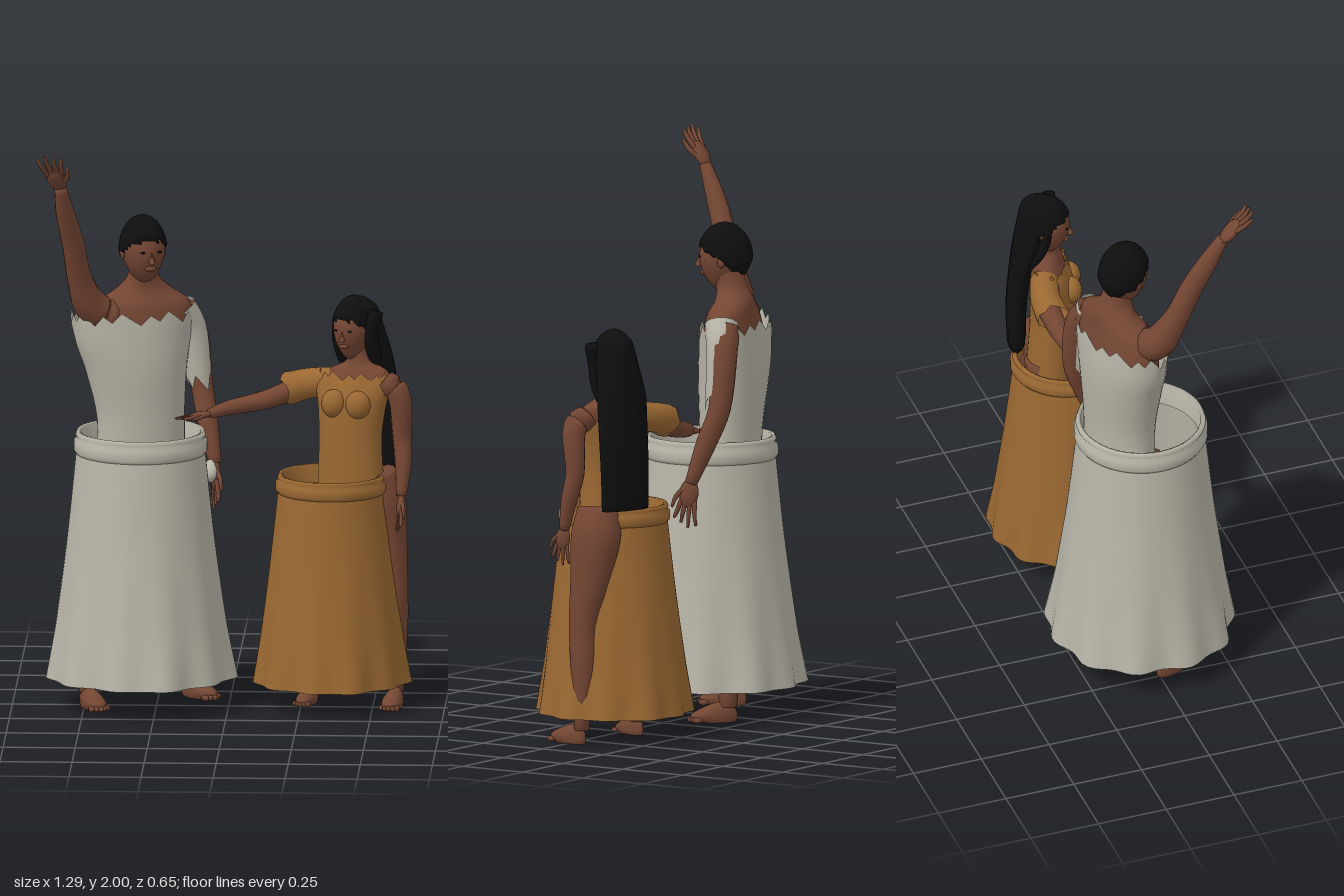
import * as THREE from 'three';

const V = (a) => new THREE.Vector3(a[0], a[1], a[2]);

export function createModel() {
  const mat = (name, color, side = THREE.FrontSide) => {
    const m = new THREE.MeshStandardMaterial({ color, side });
    m.name = name;
    return m;
  };
  const skin = mat('brown skin', 0x744633);
  const white = mat('off-white cloth', 0xb8b4a7, THREE.DoubleSide);
  const ochre = mat('ochre cloth', 0x9a6832, THREE.DoubleSide);
  const black = mat('black hair', 0x0e0e0e);

  const add = (parent, name, geo, material) => {
    const m = new THREE.Mesh(geo, material);
    m.name = name;
    parent.add(m);
    return m;
  };

  // Smooth skin over rows of [x, y, z, rx, rz]; rings lie flat, or across the path when across is set
  function loft(rows, { yaw = 0, open = false, across = false, seg = 20, sub = 5, jag, ripple } = {}) {
    const path = new THREE.CatmullRomCurve3(rows.map(V));
    const size = new THREE.CatmullRomCurve3(rows.map((r, i) => new THREE.Vector3(r[3], r[4] ?? r[3], i * 0.1)));
    const n = (rows.length - 1) * sub, pos = [], idx = [];
    const ring = (t, k) => {
      const c = path.getPoint(t), s = size.getPoint(t);
      const up = across ? path.getTangent(t) : new THREE.Vector3(0, 1, 0);
      const e1 = new THREE.Vector3(Math.cos(yaw), 0, -Math.sin(yaw));
      if (across) {
        if (Math.abs(up.x) > 0.8) e1.set(0, 0, 1);
        e1.addScaledVector(up, -e1.dot(up)).normalize();
      }
      const e2 = e1.clone().cross(up);
      for (let j = 0; j < seg; j++) {
        const a = j / seg * Math.PI * 2, f = k * (1 + (ripple ? ripple(a, t) : 0));
        const p = c.clone().addScaledVector(e1, Math.cos(a) * s.x * f).addScaledVector(e2, Math.sin(a) * s.y * f);
        if (jag) p.addScaledVector(up, jag(j, a) * Math.max(0, (t - 0.8) / 0.2));
        pos.push(p.x, p.y, p.z);
      }
    };
    if (!open) ring(0, 0.001);
    for (let i = 0; i <= n; i++) ring(i / n, 1);
    if (!open) ring(1, 0.001);
    for (let i = 0; i < pos.length / 3 / seg - 1; i++) for (let j = 0; j < seg; j++) {
      const a = i * seg + j, b = i * seg + (j + 1) % seg;
      idx.push(a, a + seg, b, b, a + seg, b + seg);
    }
    const g = new THREE.BufferGeometry();
    g.setAttribute('position', new THREE.Float32BufferAttribute(pos, 3));
    g.setIndex(idx);
    g.computeVertexNormals();
    return g;
  }
  const limb = (rows, o = {}) => loft(rows, { across: true, seg: 14, ...o });

  // Hand built along +y: palm, four fingers and a thumb
  function hand(parent, name, at, dir, side, L, thumb) {
    const h = new THREE.Group();
    h.name = name;
    const y = V(dir).normalize(), x = V(side);
    x.addScaledVector(y, -x.dot(y)).normalize();
    h.quaternion.setFromRotationMatrix(new THREE.Matrix4().makeBasis(x, y, x.clone().cross(y)));
    h.position.copy(V(at));
    add(h, 'palm', new THREE.SphereGeometry(1, 14, 10).scale(0.2 * L, 0.31 * L, 0.1 * L).translate(0, 0.28 * L, 0), skin);
    for (let i = -1.5; i < 2; i++) {
      const end = 0.98 - Math.abs(i + 0.5 * thumb) * 0.07;
      add(h, 'finger', limb([[i * 0.09 * L, 0.4 * L, 0, 0.052 * L], [i * 0.13 * L, 0.72 * L, 0.02 * L, 0.046 * L],
        [i * 0.16 * L, end * L, -0.01 * L, 0.028 * L]], { seg: 8, sub: 3 }), skin);
    }
    add(h, 'thumb', limb([[thumb * 0.08 * L, 0.15 * L, 0, 0.06 * L], [thumb * 0.25 * L, 0.38 * L, 0.04 * L, 0.05 * L],
      [thumb * 0.3 * L, 0.62 * L, 0.06 * L, 0.03 * L]], { seg: 8, sub: 3 }), skin);
    parent.add(h);
  }

  // Foot: a flattened wedge with toes, heel under the ankle
  function foot(parent, name, x, z, yaw, s) {
    const f = new THREE.Group();
    f.name = name;
    const g = new THREE.SphereGeometry(1, 18, 14), p = g.attributes.position;
    for (let i = 0; i < p.count; i++) {
      const k = p.getZ(i);
      p.setXYZ(i, p.getX(i) * (0.035 + 0.008 * k), Math.max(0, 0.022 + p.getY(i) * (0.042 - 0.022 * k)), 0.04 + k * 0.08);
    }
    g.computeVertexNormals();
    add(f, 'sole and instep', g, skin);
    for (let i = -2; i <= 2; i++) {
      add(f, 'toe', new THREE.SphereGeometry(0.011, 8, 6).scale(0.8, 0.9, 1.6)
        .translate(i * 0.014, 0.011, 0.113 - Math.abs(i) * 0.006), skin);
    }
    f.position.set(x, 0, z);
    f.rotation.y = yaw;
    f.scale.setScalar(s);
    parent.add(f);
  }

  // Head with tapered jaw, features and a hair cap that dives under the skin below the hairline
  function head(parent, at, yaw, [rx, ry, rz]) {
    const h = new THREE.Group();
    h.name = 'head';
    const shape = (k) => {
      const g = new THREE.SphereGeometry(1, 36, 28), p = g.attributes.position;
      for (let i = 0; i < p.count; i++) {
        const x = p.getX(i), y = p.getY(i), z = p.getZ(i);
        const jaw = y < 0 ? 1 + 0.22 * y : 1, f = k(x, y, z);
        p.setXYZ(i, x * rx * jaw * f, y * ry * f, (z * jaw + (y < 0 ? -0.12 * y : 0)) * rz * f);
      }
      g.computeVertexNormals();
      return g;
    };
    add(h, 'face', shape(() => 1), skin);
    add(h, 'hair', shape((x, y, z) => y > -0.1 + 0.52 * z + 0.06 * Math.sin(x * 14) ? 1.09 : 0.88), black);
    const nose = new THREE.ConeGeometry(0.17 * rx, 0.34 * ry, 8).scale(1, 1, 1.3);
    add(h, 'nose', nose.translate(0, -0.12 * ry, rz * 1.01), skin);
    add(h, 'lips', new THREE.SphereGeometry(0.25 * rx, 10, 8).scale(1.2, 0.5, 0.5).translate(0, -0.48 * ry, rz * 0.86), skin);
    for (const s of [-1, 1]) {
      add(h, 'eye', new THREE.SphereGeometry(0.13 * rx, 8, 6).scale(1.2, 0.4, 0.4).translate(s * 0.38 * rx, 0.04 * ry, rz * 0.92), black);
      add(h, 'ear', new THREE.SphereGeometry(0.2 * rx, 8, 8).scale(0.5, 1.3, 0.9).translate(s * rx, -0.08 * ry, 0), skin);
    }
    h.position.copy(V(at));
    h.rotation.y = yaw;
    parent.add(h);
  }

  // Flared skirt with folds deepening to the hem, and a rolled waistband
  function skirt(parent, x, z, profile, R, y, h, material) {
    add(parent, 'skirt', loft(profile.map(([py, r]) => [x, py, z, r, r]), {
      open: true, seg: 88, sub: 6,
      ripple: (a, t) => (1 - t) ** 2 * (0.035 * Math.sin(11 * a + 0.6) + 0.02 * Math.sin(5 * a + 1)),
    }), material);
    const pts = [[-0.03, 0], [-0.008, -0.01], [0, 0.15], [0, 0.55], [-0.012, 0.68], [-0.006, 0.82], [-0.012, 1], [-0.024, 0.95], [-0.03, 0]];
    const band = new THREE.LatheGeometry(pts.map(([r, k]) => new THREE.Vector2(R + r, y + h * k)), 56);
    add(parent, 'waistband', band.translate(x, 0, z), material);
  }
  const torn = (d) => (j) => d * (((j * 7) % 5) / 2 - 1);

  // ---- Man ----
  const man = new THREE.Group();
  man.name = 'man';
  add(man, 'torso', loft([[-0.31, 0.8, -0.08, 0.14, 0.09], [-0.31, 1, -0.08, 0.14, 0.09], [-0.325, 1.2, -0.08, 0.165, 0.1],
    [-0.315, 1.33, -0.085, 0.19, 0.095], [-0.305, 1.41, -0.09, 0.17, 0.08], [-0.3, 1.455, -0.1, 0.1, 0.065],
    [-0.3, 1.5, -0.09, 0.056, 0.056], [-0.295, 1.57, -0.07, 0.05, 0.054]], { yaw: 0.3, seg: 28 }), skin);
  add(man, 'dressTop', loft([[-0.31, 0.78, -0.08, 0.16, 0.1], [-0.308, 1, -0.08, 0.155, 0.105], [-0.325, 1.18, -0.08, 0.18, 0.118],
    [-0.335, 1.28, -0.08, 0.205, 0.118], [-0.335, 1.37, -0.08, 0.222, 0.112]], { yaw: 0.3, seg: 40, open: true, jag: torn(0.022) }), white);
  add(man, 'raisedArm', limb([[-0.4, 1.36, -0.04, 0.06], [-0.475, 1.41, 0, 0.06], [-0.515, 1.52, 0.05, 0.044],
    [-0.535, 1.65, 0.1, 0.039], [-0.56, 1.77, 0.155, 0.033], [-0.575, 1.87, 0.205, 0.021]]), skin);
  hand(man, 'raisedHand', [-0.575, 1.865, 0.2], [-0.035, 0.12, 0.09], [1, 0.1, 0.1], 0.175, 1);
  const armRows = [[-0.17, 1.37, -0.14, 0.055], [-0.132, 1.3, -0.165, 0.05], [-0.1, 1.1, -0.17, 0.039],
    [-0.078, 0.98, -0.13, 0.036], [-0.05, 0.84, -0.085, 0.022]];
  add(man, 'loweredArm', limb(armRows), skin);
  add(man, 'tornSleeve', limb(armRows.slice(0, 3).map(([x, y, z, r]) => [x - 0.006, y + 0.015, z + 0.012, r + 0.003]),
    { open: true, jag: torn(0.03) }), white);
  add(man, 'tornCuff', limb([[-0.066, 0.85, -0.08, 0.014], [-0.062, 0.81, -0.055, 0.022], [-0.064, 0.78, -0.06, 0.008]]), white);
  hand(man, 'loweredHand', [-0.05, 0.85, -0.086], [0, -0.16, 0.03], [0.3, 0, 1], 0.17, 1);
  head(man, [-0.3, 1.6, -0.06], 0.4, [0.076, 0.113, 0.09]);
  add(man, 'leftLeg', limb([[-0.24, 0.85, -0.1, 0.1], [-0.22, 0.48, -0.1, 0.06], [-0.18, 0.3, -0.15, 0.055], [-0.14, 0.05, -0.18, 0.03]]), skin);
  add(man, 'rightLeg', limb([[-0.39, 0.85, -0.05, 0.1], [-0.43, 0.48, 0.02, 0.06], [-0.47, 0.3, 0.02, 0.055], [-0.49, 0.05, 0.02, 0.03]]), skin);
  foot(man, 'leftFoot', -0.14, -0.17, 0.8, 1.05);
  foot(man, 'rightFoot', -0.49, 0.025, 0.45, 1.05);
  skirt(man, -0.305, 0, [[0.11, 0.322], [0.3, 0.293], [0.6, 0.255], [0.92, 0.222]], 0.232, 0.895, 0.08, white);

  // ---- Woman ----
  const woman = new THREE.Group();
  woman.name = 'woman';
  add(woman, 'torso', loft([[0.44, 0.7, -0.07, 0.11, 0.08], [0.42, 0.92, -0.06, 0.1, 0.07], [0.43, 1.05, -0.06, 0.11, 0.07],
    [0.445, 1.14, -0.07, 0.13, 0.058], [0.45, 1.18, -0.08, 0.1, 0.05], [0.45, 1.21, -0.085, 0.046, 0.042],
    [0.44, 1.29, -0.09, 0.038, 0.04]], { yaw: -0.33, seg: 28 }), skin);
  add(woman, 'dressTop', loft([[0.425, 0.68, -0.065, 0.125, 0.09], [0.42, 0.93, -0.06, 0.113, 0.08], [0.425, 1.05, -0.06, 0.122, 0.08],
    [0.43, 1.12, -0.067, 0.136, 0.07], [0.435, 1.165, -0.075, 0.125, 0.062]], { yaw: -0.33, seg: 36, open: true, jag: torn(0.016) }), ochre);
  for (const [x, z] of [[0.365, -0.015], [0.45, 0.01]]) {
    add(woman, 'bust', new THREE.SphereGeometry(1, 16, 12).scale(0.045, 0.05, 0.04).translate(x, 1.07, z), ochre);
  }
  add(woman, 'sleeve', limb([[0.37, 1.13, -0.11, 0.05], [0.27, 1.115, -0.14, 0.053], [0.195, 1.095, -0.14, 0.058]],
    { open: true, jag: torn(0.01) }), ochre);
  add(woman, 'reachingArm', limb([[0.35, 1.13, -0.12, 0.045], [0.25, 1.105, -0.14, 0.041], [0.13, 1.06, -0.13, 0.033],
    [0, 1.035, -0.1, 0.026], [-0.07, 1.02, -0.065, 0.017]]), skin);
  hand(woman, 'reachingHand', [-0.065, 1.02, -0.068], [-0.12, -0.012, 0.04], [0.3, 0.1, 1], 0.13, 1);
  add(woman, 'hangingArm', limb([[0.54, 1.14, -0.04, 0.045], [0.585, 1.11, -0.025, 0.042], [0.6, 0.95, -0.035, 0.033],
    [0.605, 0.86, -0.015, 0.029], [0.6, 0.75, 0.01, 0.018]]), skin);
  hand(woman, 'hangingHand', [0.6, 0.755, 0.01], [-0.01, -0.13, 0.025], [0.2, 0, 1], 0.135, 1);
  head(woman, [0.43, 1.322, -0.085], -0.45, [0.066, 0.108, 0.085]);
  add(woman, 'longHair', loft([[0.49, 0.82, -0.17, 0.095, 0.032], [0.492, 0.95, -0.17, 0.098, 0.036], [0.485, 1.1, -0.158, 0.1, 0.04],
    [0.47, 1.22, -0.14, 0.098, 0.05], [0.458, 1.32, -0.115, 0.08, 0.062], [0.45, 1.4, -0.1, 0.06, 0.062], [0.445, 1.43, -0.095, 0.025, 0.03]],
    { yaw: -0.33, seg: 40, ripple: (a, t) => 0.04 * (1 - t) * Math.sin(13 * a) }), black);
  // Locks framing the face
  for (const [x, z, w] of [[0.372, -0.1, 0.018], [0.492, -0.045, 0.024]]) {
    add(woman, 'sideLock', limb([[x + 0.03, 1.16, z - 0.07, 0.012], [x + 0.008, 1.24, z - 0.02, w], [x, 1.32, z, w], [x + 0.02, 1.39, z, w]]), black);
  }
  add(woman, 'leftLeg', limb([[0.505, 0.82, -0.07, 0.07, 0.075], [0.528, 0.72, -0.075, 0.084, 0.09], [0.555, 0.57, -0.065, 0.062, 0.07],
    [0.575, 0.42, -0.05, 0.045, 0.05], [0.578, 0.28, -0.055, 0.042, 0.046], [0.58, 0.05, -0.05, 0.026]]), skin);
  add(woman, 'rightLeg', limb([[0.4, 0.78, -0.09, 0.08], [0.35, 0.45, -0.06, 0.05], [0.31, 0.28, -0.08, 0.045], [0.29, 0.05, -0.09, 0.025]]), skin);
  foot(woman, 'leftFoot', 0.58, -0.03, -0.2, 1);
  foot(woman, 'rightFoot', 0.285, -0.08, -0.35, 0.9);
  skirt(woman, 0.355, -0.035, [[0.09, 0.267], [0.25, 0.245], [0.5, 0.214], [0.77, 0.184]], 0.194, 0.755, 0.065, ochre);

  const model = new THREE.Group();
  model.name = 'twoFigures';
  model.add(man, woman);
  return model;
}
